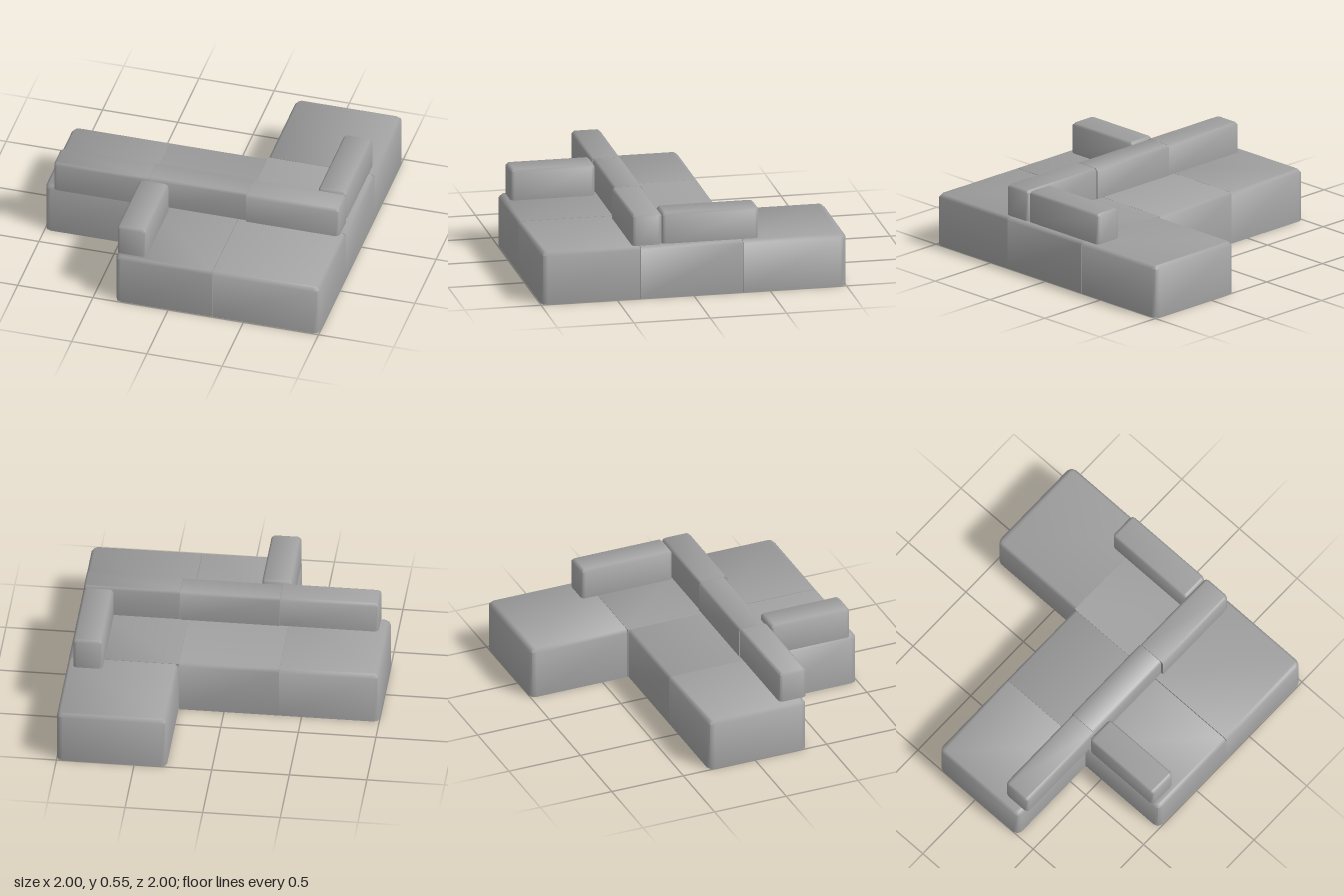
import * as THREE from 'three';
import { toCreasedNormals } from 'three/addons/utils/BufferGeometryUtils.js';

const material = new THREE.MeshStandardMaterial({ color: 0xa0a0a0 });
const ARC = 2; // segments per rounded corner

// Ring round a rectangle, anticlockwise from above. Sides in `open` (of left,
// right, front, back) are moved in by `inset`; corners between two open sides are rounded.
function ring([x0, x1], [z0, z1], open, radius, inset, y) {
  const corners = [[x1, z1, 'l', 'f'], [x1, z0, 'l', 'b'], [x0, z0, 'r', 'b'], [x0, z1, 'r', 'f']];
  const points = [];
  corners.forEach(([x, z, sideX, sideZ], c) => {
    const openX = open.includes(sideX), openZ = open.includes(sideZ);
    const r = openX && openZ ? radius - inset : 0;
    const cx = x - (sideX === 'l' ? 1 : -1) * (r + (openX ? inset : 0));
    const cz = z - (sideZ === 'f' ? 1 : -1) * (r + (openZ ? inset : 0));
    for (let i = 0; i <= ARC; i++) {
      const a = Math.PI / 2 * (1 - c - i / ARC);
      points.push([cx + r * Math.cos(a), y, cz + r * Math.sin(a)]);
    }
  });
  return points;
}

// Upholstered block: flat base, upright sides, bevelled top edge with soft shading
function block(name, x, [y0, y1], z, open, radius, bevel) {
  const rings = [
    ring(x, z, open, radius, 0, y0),
    ring(x, z, open, radius, 0, y1 - bevel),
    ring(x, z, open, radius, bevel, y1),
  ];
  const n = rings[0].length, top = 2 * n, index = [];
  const quad = (a, b, c, d) => index.push(a, b, c, a, c, d);
  // Sides and bevel
  for (let k = 0; k < 2; k++) {
    for (let i = 0; i < n; i++) {
      const a = k * n + i, b = k * n + (i + 1) % n;
      quad(a, b, b + n, a + n);
    }
  }
  // Top and base, in strips from side to side
  for (let i = 0; i < n / 2 - 1; i++) {
    const j = n - 1 - i;
    quad(top + i, top + i + 1, top + j - 1, top + j);
    quad(j, j - 1, i + 1, i);
  }
  const geometry = new THREE.BufferGeometry();
  geometry.setAttribute('position', new THREE.Float32BufferAttribute(rings.flat(2), 3));
  geometry.setIndex(index);
  const mesh = new THREE.Mesh(toCreasedNormals(geometry, 0.9), material);
  mesh.name = name;
  return mesh;
}

export function createModel() {
  const sofa = new THREE.Group();
  sofa.name = 'modularSofa';

  // Seat modules: name, x range, z range, open sides
  const seats = [
    ['chaiseSeat', [0.292, 1], [-1, -0.325], 'lrb'],
    ['rightSeat', [-1, -0.355], [-0.32, 0.365], 'rfb'],
    ['middleSeat', [-0.354, 0.291], [-0.32, 0.35], 'b'],
    ['cornerSeat', [0.292, 1], [-0.323, 0.347], 'l'],
    ['frontRightSeat', [-0.355, 0.289], [0.351, 0.995], 'rf'],
    ['frontLeftSeat', [0.293, 1], [0.35, 0.995], 'lf'],
  ];
  for (const [name, x, z, open] of seats) sofa.add(block(name, x, [0, 0.346], z, open, 0.04, 0.02));

  // Backrests and armrests resting on the seats
  const rests = [
    ['rightBackrest', [-0.935, -0.301], [0.2, 0.39], 'rfb'],
    ['middleBackrest', [-0.299, 0.344], [0.195, 0.38], 'fb'],
    ['leftBackrest', [0.346, 0.965], [0.2, 0.395], 'lfb'],
    ['backArmrest', [0.77, 0.96], [-0.435, 0.2], 'lrfb'],
    ['frontArmrest', [-0.355, -0.162], [0.396, 0.948], 'lrfb'],
  ];
  for (const [name, x, z, open] of rests) sofa.add(block(name, x, [0.345, 0.55], z, open, 0.025, 0.015));
  return sofa;
}
